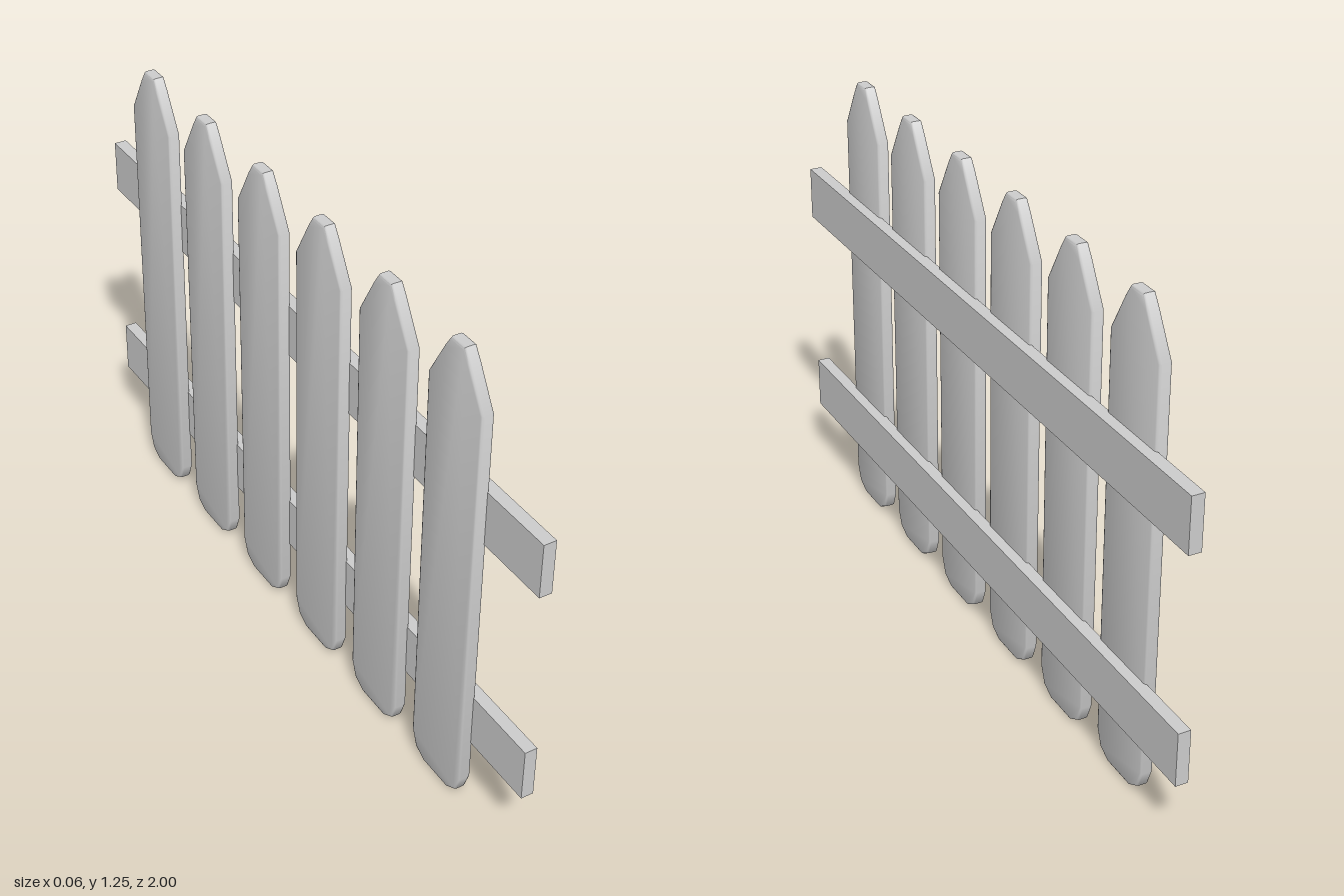
import * as THREE from 'three';
import { toCreasedNormals } from 'three/addons/utils/BufferGeometryUtils.js';

const material = new THREE.MeshStandardMaterial({ color: 0xcccccc });

// Right half of the picket outline, bottom to top: [half width, height]
const PROFILE = [[0.05, 0], [0.085, 0.02], [0.102, 0.065], [0.102, 1.12], [0.045, 1.22], [0.025, 1.25]];

// Pointed board with softened edges, lying in the YZ plane
function picketGeometry() {
  const thickness = 0.032, bevel = 0.006;
  const right = PROFILE.map(([x, y]) => new THREE.Vector2(x, y));
  const left = PROFILE.map(([x, y]) => new THREE.Vector2(-x, y)).reverse();
  const geometry = new THREE.ExtrudeGeometry(new THREE.Shape([...right, ...left]), {
    depth: thickness - 2 * bevel,
    bevelEnabled: true,
    bevelThickness: bevel,
    bevelSize: bevel,
    bevelOffset: -bevel,
    bevelSegments: 2,
  });
  geometry.translate(0, 0, bevel - thickness / 2);
  geometry.rotateY(Math.PI / 2);
  return toCreasedNormals(geometry, 0.9);
}

export function createModel() {
  const fence = new THREE.Group();
  fence.name = 'picketFence';

  // Six evenly spaced pickets
  const picket = picketGeometry();
  for (let i = 0; i < 6; i++) {
    const mesh = new THREE.Mesh(picket, material);
    mesh.name = `picket${i + 1}`;
    mesh.position.set(-0.014, 0, 0.695 - i * 0.2812);
    fence.add(mesh);
  }

  // Two horizontal rails fixed across the pickets
  const rail = new THREE.BoxGeometry(0.033, 0.143, 2);
  for (const [name, y] of [['lowerRail', 0.247], ['upperRail', 0.844]]) {
    const mesh = new THREE.Mesh(rail, material);
    mesh.name = name;
    mesh.position.set(0.0135, y, 0);
    fence.add(mesh);
  }

  return fence;
}
